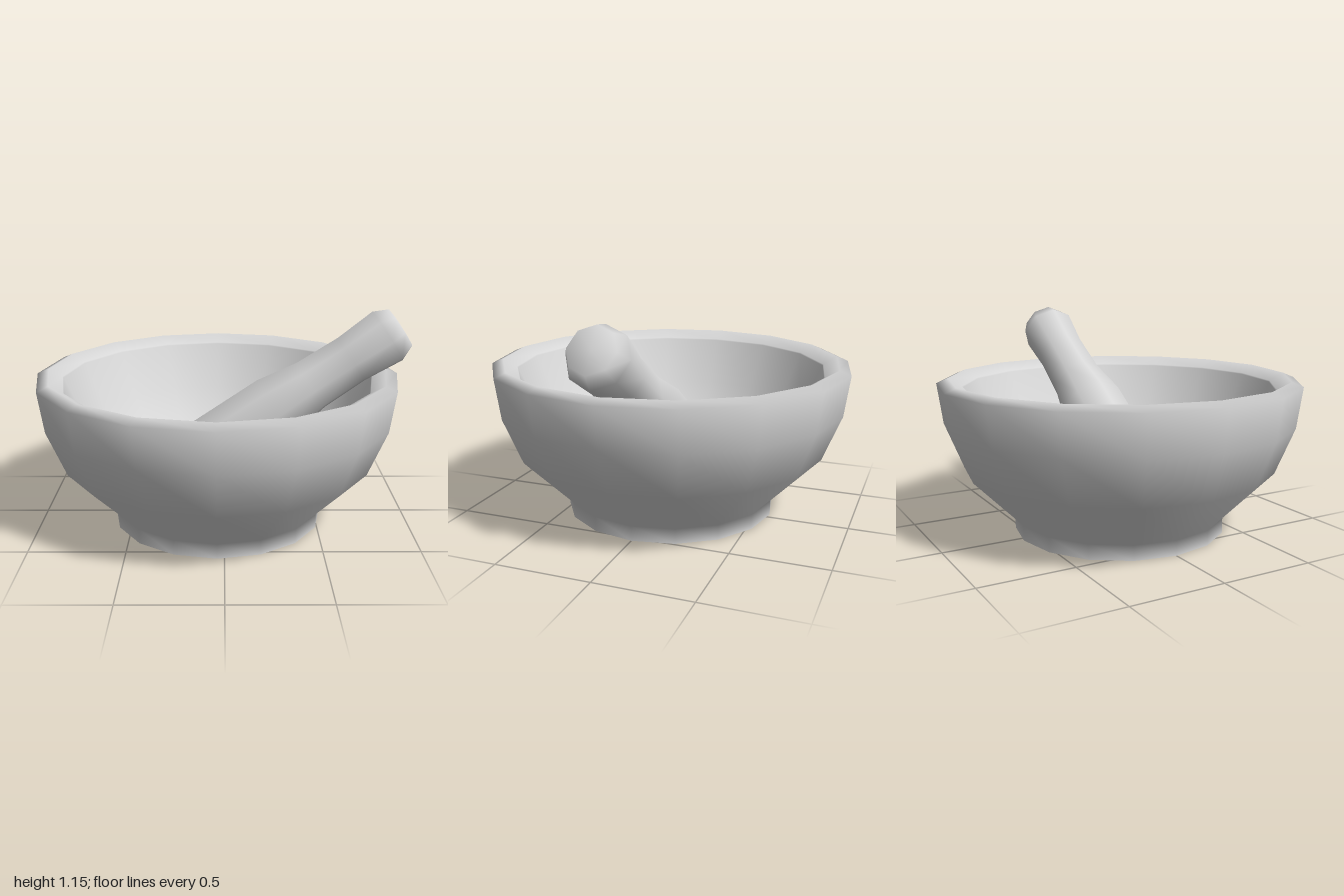
import * as THREE from 'three';

const profile = (pairs) => pairs.map(([r, y]) => new THREE.Vector2(r, y));

export function createModel() {
  const model = new THREE.Group();
  const stone = new THREE.MeshStandardMaterial({ color: 0xd6d6d6 });
  stone.name = 'grey stone';

  const add = (parent, name, geometry) => {
    const mesh = new THREE.Mesh(geometry, stone);
    mesh.name = name;
    parent.add(mesh);
    return mesh;
  };

  // Mortar: foot, flared outer wall, rim sloping inwards and rounded hollow
  const mortar = new THREE.Group();
  mortar.name = 'mortar';
  mortar.position.x = -0.037;
  model.add(mortar);
  add(mortar, 'bowl', new THREE.LatheGeometry(profile([
    [0.572, 0], [0.572, 0.08], [0.835, 0.345], [0.935, 0.59], [0.965, 0.805],
    [0.905, 0.83], [0.832, 0.787], [0.828, 0.78],
    [0.71, 0.53], [0.57, 0.345], [0.4, 0.195], [0.2, 0.1], [0, 0.07],
  ]), 16));

  // Flat underside, kept separate for a sharp edge
  const underside = add(mortar, 'footUnderside', new THREE.CircleGeometry(0.572, 16));
  underside.rotation.x = Math.PI / 2;

  // Pestle: [radius, x of ring centre], leaning on the right side of the rim
  const tilt = Math.atan(0.675);
  const endX = -0.404;
  const rings = [
    [0, endX], [0.127, endX], [0.185, -0.32], [0.185, 0.28],
    [0.147, 0.47], [0.14, 0.68], [0.158, 0.865], [0.12, 0.93], [0, 0.93],
  ];
  const pestle = add(model, 'pestle', new THREE.LatheGeometry(
    profile(rings.map(([r, x]) => [r, (x - endX) / Math.cos(tilt)])), 8));
  pestle.position.set(endX, 0.151, 0);
  pestle.rotation.z = tilt - Math.PI / 2;

  return model;
}
